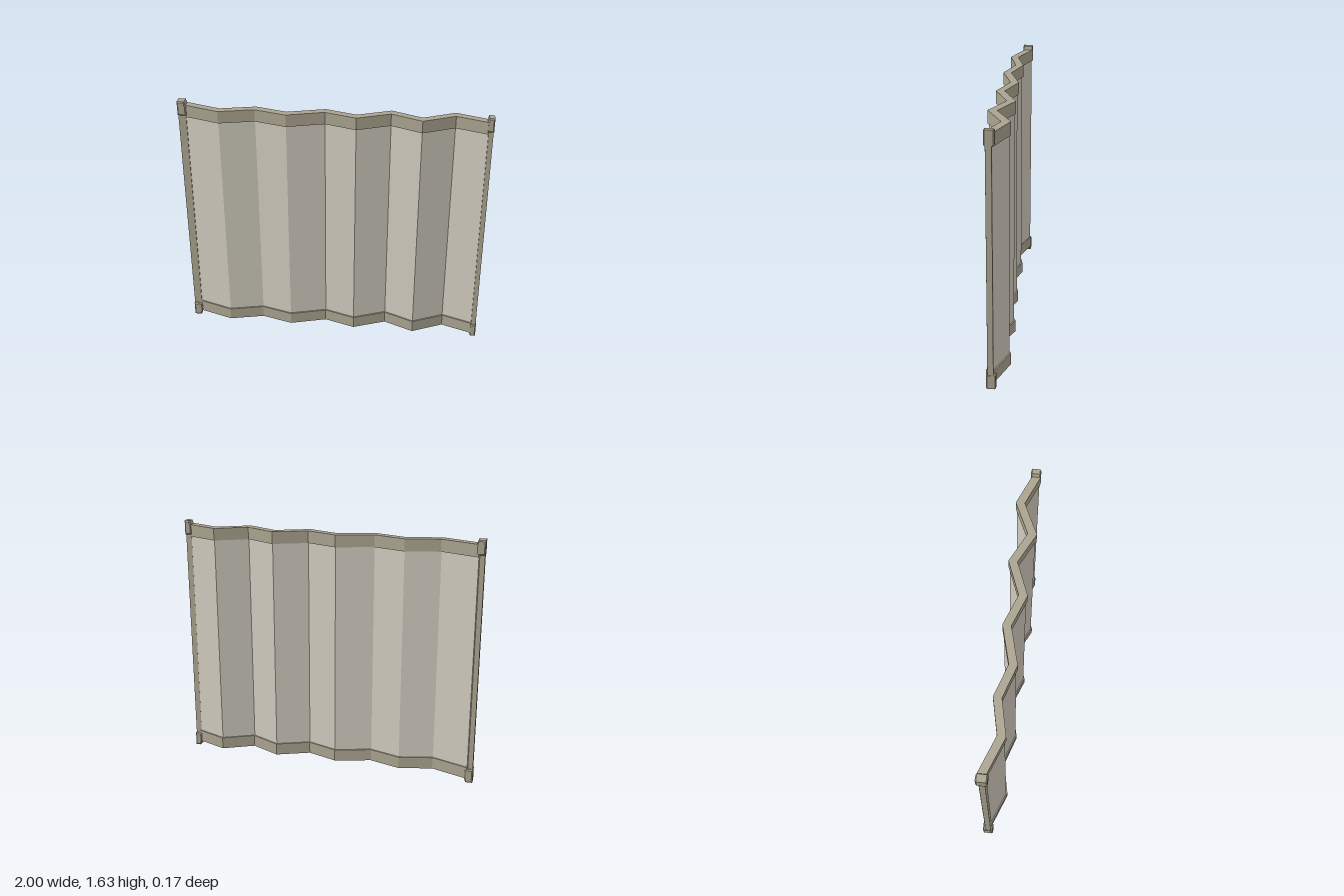
import * as THREE from 'three';

// centre line of the folds, as [x, z]
const FOLDS = [
  [-0.965, -0.065], [-0.72, 0.026], [-0.495, -0.025], [-0.29, 0.041], [-0.05, -0.025],
  [0.15, 0.048], [0.365, -0.038], [0.56, 0.057], [0.765, -0.04], [0.97, 0.043],
];
const HEIGHT = 1.635;

// zigzag wall of even thickness with mitred folds, from y0 to y1
function foldedWall(thickness, y0, y1) {
  const pts = FOLDS.map(([x, z]) => new THREE.Vector2(x, z));
  const normals = pts.slice(1).map((p, i) => {
    const d = p.clone().sub(pts[i]).normalize();
    return new THREE.Vector2(-d.y, d.x);
  });
  const offset = (side) => pts.map((p, i) => {
    const a = normals[Math.max(i - 1, 0)];
    const b = normals[Math.min(i, normals.length - 1)];
    const m = a.clone().add(b).normalize();
    return p.clone().addScaledVector(m, side * thickness / 2 / m.dot(a));
  });
  const shape = new THREE.Shape([...offset(-1), ...offset(1).reverse()]);
  const geo = new THREE.ExtrudeGeometry(shape, { depth: y1 - y0, bevelEnabled: false });
  return geo.rotateX(Math.PI / 2).translate(0, y1, 0);
}

// end cap: tapers on its inner side near the tip, with softened edges
function capGeometry(side, width, depth) {
  const b = 0.007;
  const outer = side * (1 - b);
  const inner = side * (1 - width + b);
  const shape = new THREE.Shape([
    new THREE.Vector2(outer, b * 0.2),
    new THREE.Vector2(outer, 0.083),
    new THREE.Vector2(inner - side * 0.004, 0.083),
    new THREE.Vector2(inner - side * 0.004, 0.03),
    new THREE.Vector2(inner + side * 0.005, b * 0.2),
  ]);
  return new THREE.ExtrudeGeometry(shape, {
    depth: depth - 2 * b, bevelEnabled: true, bevelThickness: b,
    bevelSize: b, bevelOffset: -b * 0.2, bevelSegments: 1,
  }).translate(0, b * 0.6, -depth / 2 + b);
}

export function createModel() {
  const group = new THREE.Group();
  const frame = new THREE.MeshStandardMaterial({ name: 'frame taupe', color: 0xaaa38f });
  const cloth = new THREE.MeshStandardMaterial({ name: 'panel cream', color: 0xd0cbbe });
  const add = (name, geo, mat, parent = group) => {
    const mesh = new THREE.Mesh(geo, mat);
    mesh.name = name;
    parent.add(mesh);
    return mesh;
  };

  // pleated panel held between two rails
  add('foldedPanel', foldedWall(0.034, 0.1, 1.54), cloth);
  add('bottomRail', foldedWall(0.051, 0.03, 0.11), frame);
  add('topRail', foldedWall(0.051, 1.53, 1.61), frame);

  // end posts with a cap at the top and bottom
  const ends = [
    { name: 'right', side: -1, z: -0.054, width: 0.056, depth: 0.07 },
    { name: 'left', side: 1, z: 0.034, width: 0.044, depth: 0.062 },
  ];
  for (const { name, side, z, width, depth } of ends) {
    const end = new THREE.Group();
    end.name = name + 'End';
    end.position.z = z;
    group.add(end);

    const w = width - 0.006;
    const post = new THREE.BoxGeometry(w, HEIGHT - 0.1, 0.036);
    post.translate(side * (0.996 - w / 2), HEIGHT / 2, 0.003);
    add(name + 'Post', post, frame, end);

    add(name + 'BottomCap', capGeometry(side, width, depth), frame, end);
    // the upper cap is the lower one turned over about the x axis
    const top = add(name + 'TopCap', capGeometry(side, width, depth), frame, end);
    top.rotation.x = Math.PI;
    top.position.y = HEIGHT;
  }
  return group;
}
